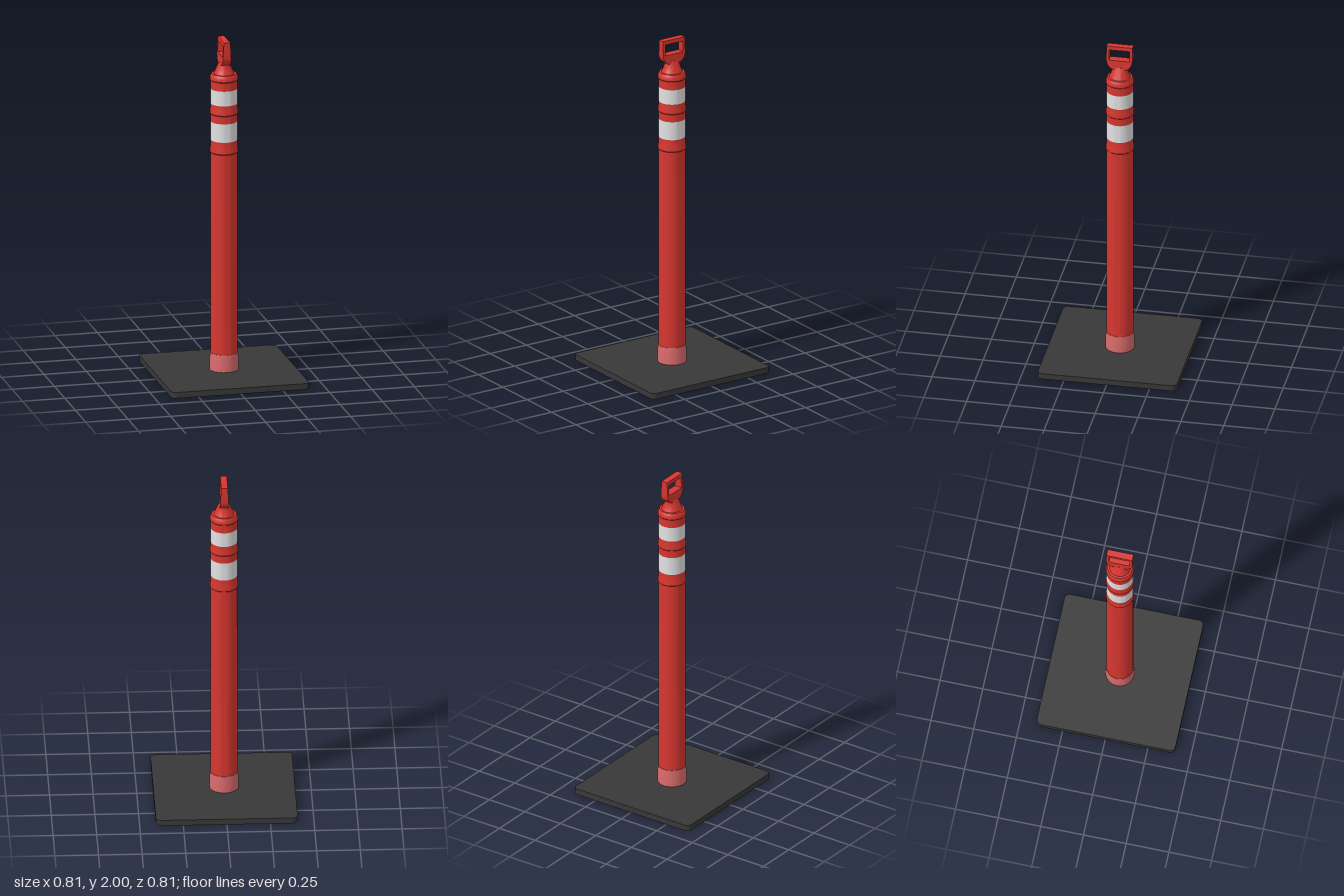
import * as THREE from 'three';
import { toCreasedNormals } from 'three/addons/utils/BufferGeometryUtils.js';

function material(name, color) {
  const m = new THREE.MeshStandardMaterial({ color });
  m.name = name;
  return m;
}

export function createModel() {
  const group = new THREE.Group();
  const red = material('red plastic', 0xd8362f);
  const white = material('reflective white', 0xe2e2e2);
  const pink = material('faded red collar', 0xd96a6a);
  const black = material('black rubber', 0x383838);

  const add = (name, geometry, mat) => {
    const mesh = new THREE.Mesh(toCreasedNormals(geometry, 0.5), mat);
    mesh.name = name;
    group.add(mesh);
  };
  const lathe = (name, points, mat) =>
    add(name, new THREE.LatheGeometry(points.map(p => new THREE.Vector2(...p)), 48), mat);

  // Square rubber base with rounded corners
  const h = 0.406, r = 0.03;
  const plate = new THREE.Shape();
  plate.moveTo(-h + r, -h);
  [[1, -1], [1, 1], [-1, 1], [-1, -1]].forEach(([x, y], i) => {
    plate.absarc(x * (h - r), y * (h - r), r, (i - 1) * Math.PI / 2, i * Math.PI / 2, false);
  });
  const base = new THREE.ExtrudeGeometry(plate, { depth: 0.035, bevelEnabled: false, curveSegments: 8 });
  base.rotateX(-Math.PI / 2);
  add('base', base, black);

  // Collar at the foot of the post
  lathe('collar', [[0.083, 0.033], [0.082, 0.11], [0.079, 0.137], [0.07, 0.137]], pink);

  // Post sections, each ring with a sharp lower lip and a tapered top
  const R = 0.0765, lip = 0.081;
  const ring = y => [[R, y - 0.005], [lip, y], [lip, y + 0.014], [R, y + 0.035]];
  lathe('lowerPost', [[R, 0.03], ...ring(1.335), [R, 1.405]], red);
  lathe('lowerBand', [[R, 1.405], [R, 1.515]], white);
  lathe('middlePost', [[R, 1.515], ...ring(1.565), [R, 1.622]], red);
  lathe('upperBand', [[R, 1.622], [R, 1.71]], white);
  lathe('shoulder', [[R, 1.71], [R, 1.76], [lip, 1.765], [lip, 1.777],
    [0.078, 1.79], [0.072, 1.8], [0.001, 1.802]], red);

  // Neck: round at the shoulder, flattening towards the handle
  const neck = new THREE.CylinderGeometry(1, 1, 1, 40, 4);
  const p = neck.attributes.position;
  for (let i = 0; i < p.count; i++) {
    const t = p.getY(i) + 0.5;
    p.setXYZ(i, p.getX(i) * (0.059 - 0.031 * t), 1.8 + 0.068 * t,
      p.getZ(i) * (0.062 - 0.018 * t * (2 - t)));
  }
  add('neck', neck, red);

  // Handle loop, drawn in the side plane and thinned towards its top
  const loop = new THREE.Shape();
  loop.moveTo(-0.04, 1.856);
  loop.lineTo(0.04, 1.856);
  loop.quadraticCurveTo(0.076, 1.875, 0.076, 1.915);
  loop.lineTo(0.076, 2);
  loop.lineTo(-0.076, 2);
  loop.lineTo(-0.076, 1.915);
  loop.quadraticCurveTo(-0.076, 1.875, -0.04, 1.856);
  const hole = new THREE.Path();
  hole.moveTo(-0.06, 1.912);
  hole.lineTo(-0.06, 1.977);
  hole.lineTo(0.06, 1.977);
  hole.lineTo(0.06, 1.912);
  hole.closePath();
  loop.holes.push(hole);
  const handle = new THREE.ExtrudeGeometry(loop, { depth: 2, bevelEnabled: false, curveSegments: 8 });
  handle.translate(0, 0, -1);
  handle.rotateY(Math.PI / 2);
  const q = handle.attributes.position;
  for (let i = 0; i < q.count; i++) {
    const t = (q.getY(i) - 1.856) / 0.144;
    q.setX(i, q.getX(i) * (0.027 - 0.008 * t));
  }
  add('handle', handle, red);

  return group;
}
